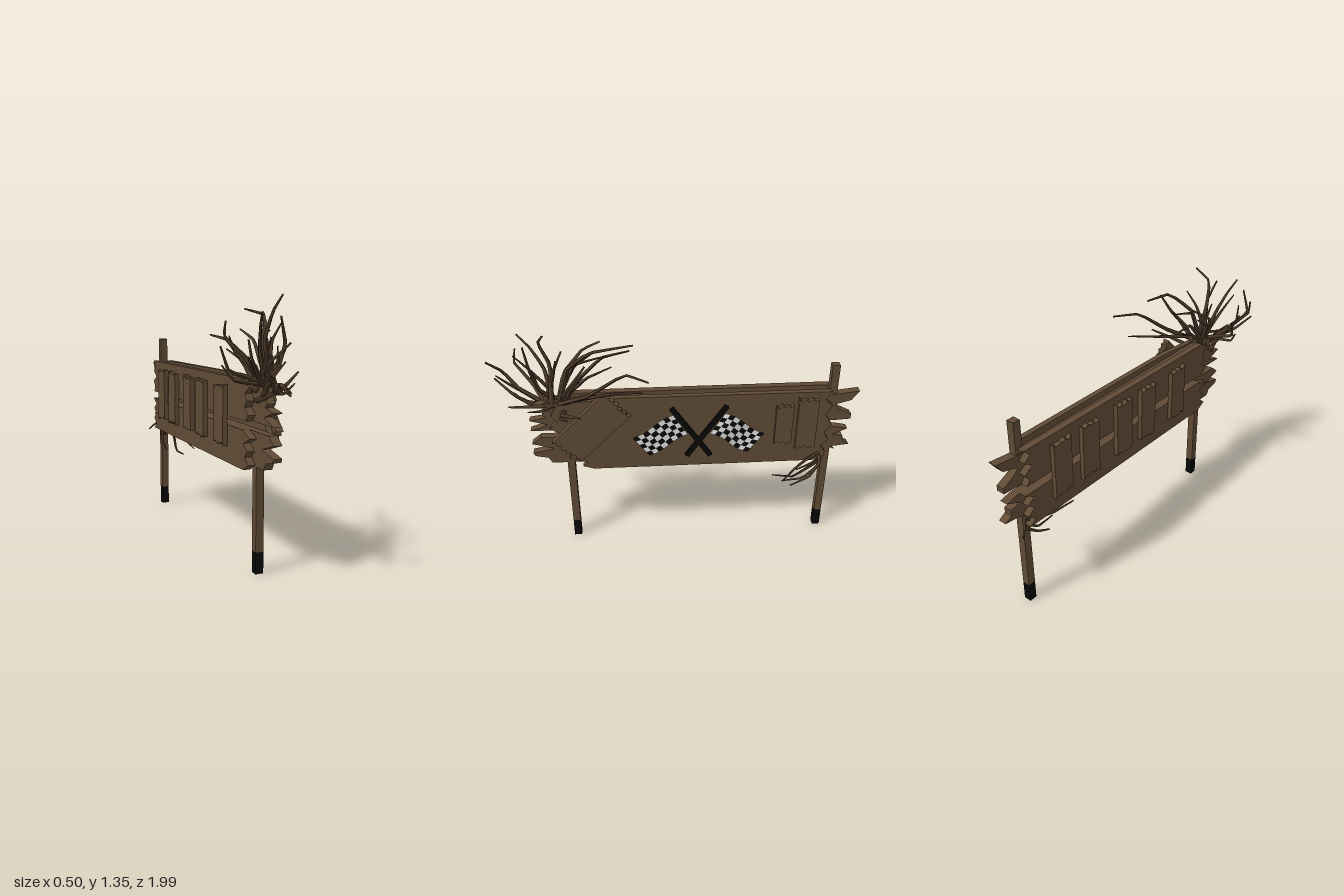
import * as THREE from 'three';

const mat = (name, color, extra = {}) => {
  const m = new THREE.MeshStandardMaterial({ color, ...extra });
  m.name = name;
  return m;
};

export function createModel() {
  const root = new THREE.Group();
  root.name = 'woodenSign';
  const wood = mat('brown wood', 0x5f4a35);
  const bark = mat('dark bark', 0x493728);
  const black = mat('black', 0x080808);
  const clothWhite = mat('white cloth', 0xdedede, { side: THREE.DoubleSide });
  const clothBlack = mat('black cloth', 0x0a0a0a, { side: THREE.DoubleSide });

  let seed = 7;
  const rnd = () => (seed = (seed * 16807) % 2147483647) / 2147483647;
  const jitter = a => (rnd() - 0.5) * 2 * a;

  const add = (name, geo, material, parent = root) => {
    const m = new THREE.Mesh(geo, material);
    m.name = name;
    parent.add(m);
    return m;
  };
  const box = (name, x0, x1, y0, y1, z0, z1, material) =>
    add(name, new THREE.BoxGeometry(x1 - x0, y1 - y0, z1 - z0)
      .translate((x0 + x1) / 2, (y0 + y1) / 2, (z0 + z1) / 2), material);

  // Flat plank from a [z, y] outline, thick from x0 to x1
  const plank = (name, pts, x0, x1) => {
    const shape = new THREE.Shape(pts.map(([z, y]) => new THREE.Vector2(-z, y)));
    const geo = new THREE.ExtrudeGeometry(shape, { depth: x1 - x0, bevelEnabled: false });
    return add(name, geo.rotateY(Math.PI / 2).translate(x0, 0, 0), wood);
  };

  // Short batten with splintered ends, turned in the plane of the sign
  const batten = (name, zc, yc, w, len, x0, x1, angle = 0) => {
    const n = 6, pts = [];
    for (const s of [1, -1]) {
      for (let i = 0; i <= n; i++) {
        const a = s * (i / n - 0.5) * w;
        const b = s * (len / 2 - (i % 2) * 0.014 - rnd() * 0.012);
        pts.push([
          zc - (a * Math.cos(angle) - b * Math.sin(angle)),
          yc + a * Math.sin(angle) + b * Math.cos(angle),
        ]);
      }
    }
    return plank(name, pts, x0, x1);
  };

  // Posts with black feet, interrupted by the slot between the planks
  for (const [name, z, top] of [['frontPost', 0.597, 0.94], ['rearPost', -0.844, 1.09]]) {
    box(name + 'Foot', -0.053, -0.011, 0, 0.11, z - 0.021, z + 0.021, black);
    box(name + 'Lower', -0.053, -0.011, 0.11, 0.7, z - 0.021, z + 0.021, wood);
    box(name + 'Upper', -0.053, -0.011, 0.755, top, z - 0.021, z + 0.021, wood);
  }

  // Core planks with long splintered ends
  plank('upperCorePlank', [
    [0.69, 0.93], [0.77, 0.905], [0.7, 0.885], [0.73, 0.85], [0.71, 0.83],
    [0.8, 0.815], [0.7, 0.785], [0.8, 0.75], [-0.88, 0.75], [-0.96, 0.755],
    [-0.96, 0.785], [-0.89, 0.82], [-0.86, 0.85], [-0.95, 0.875], [-0.99, 0.93], [-0.86, 0.915],
  ], -0.055, -0.01);
  plank('lowerCorePlank', [
    [0.75, 0.705], [0.8, 0.665], [0.68, 0.63], [0.8, 0.605], [0.79, 0.585],
    [0.72, 0.57], [0.7, 0.535], [-0.83, 0.54], [-0.88, 0.575], [-0.97, 0.585],
    [-0.93, 0.61], [-0.93, 0.64], [-0.87, 0.655], [-0.95, 0.69], [-0.88, 0.705],
  ], -0.055, -0.01);

  // Front panel and the two back planks
  plank('frontPanel', [
    [0.64, 0.93], [0.3, 0.955], [-0.83, 0.95], [-0.8, 0.9], [-0.84, 0.86], [-0.81, 0.8],
    [-0.85, 0.74], [-0.81, 0.69], [-0.84, 0.64], [-0.8, 0.6], [-0.83, 0.56], [-0.82, 0.505],
    [0.47, 0.505], [0.53, 0.525], [0.5, 0.55], [0.6, 0.58], [0.58, 0.63], [0.66, 0.67],
    [0.62, 0.73], [0.69, 0.78], [0.65, 0.82], [0.68, 0.86],
  ], -0.01, 0.02);
  for (const [name, y0, y1] of [['lowerBackPlank', 0.51, 0.705], ['upperBackPlank', 0.75, 0.95]]) {
    const h = y1 - y0, pts = [];
    for (let i = 0; i <= 6; i++) pts.push([0.56 + (i % 2) * 0.05 + jitter(0.02), y1 - h * i / 6]);
    for (let i = 0; i <= 6; i++) pts.push([-0.86 + (i % 2) * 0.04 + jitter(0.015), y0 + h * i / 6]);
    plank(name, pts, -0.093, -0.055);
  }

  // Battens on both faces
  batten('frontBattenSmall', -0.578, 0.76, 0.095, 0.26, 0.02, 0.042);
  batten('frontBattenLarge', -0.705, 0.762, 0.11, 0.325, 0.02, 0.045);
  batten('diagonalBattenUpper', 0.5, 0.82, 0.1, 0.43, 0.02, 0.057, -Math.PI / 4);
  batten('diagonalBattenLower', 0.43, 0.75, 0.095, 0.41, 0.02, 0.052, -Math.PI / 4);
  [-0.63, -0.43, -0.17, 0.03, 0.3].forEach((z, i) =>
    batten('backBatten' + (i + 1), z, 0.75, 0.12, 0.32, -0.118, -0.093));

  // Crossed flags: chequered cloth with a gentle wave, mirrored about z = -0.11
  const mid = -0.11, cols = 8, rows = 5;
  const lerp = THREE.MathUtils.lerp;
  for (const s of [1, -1]) {
    const flag = new THREE.Group();
    flag.name = s > 0 ? 'frontFlag' : 'rearFlag';
    root.add(flag);
    const geo = new THREE.PlaneGeometry(1, 1, cols, rows);
    const p = geo.attributes.position;
    for (let i = 0; i < p.count; i++) {
      const u = p.getX(i) + 0.5, v = 0.5 - p.getY(i);
      const z = lerp(lerp(0.14, 0.36, u), lerp(0.06, 0.27, u), v);
      const y = lerp(lerp(0.86, 0.725, u), lerp(0.735, 0.605, u), v);
      const wave = Math.sin(u * Math.PI * 2);
      p.setXYZ(i, 0.057 + 0.009 * wave, y + 0.016 * wave, mid + s * z);
    }
    geo.clearGroups();
    for (let i = 0; i < cols * rows; i++) {
      geo.addGroup(i * 6, 6, (i % cols + Math.floor(i / cols)) % 2);
    }
    geo.computeVertexNormals();
    add('cloth', geo, [clothWhite, clothBlack], flag);

    const pole = add('flagPole', new THREE.BoxGeometry(0.018, 0.375, 0.026), black, flag);
    pole.position.set(s > 0 ? 0.052 : 0.047, 0.745, mid + s * 0.042);
    pole.rotation.x = s * Math.atan2(0.215, 0.31);
  }

  // Kinked, tapered twig through a few points
  const twig = (parent, pts, r) => {
    const curve = new THREE.CatmullRomCurve3(pts, false, 'catmullrom', 0.08);
    const seg = 10, sides = 5;
    const geo = new THREE.TubeGeometry(curve, seg, r, sides);
    const p = geo.attributes.position, v = new THREE.Vector3();
    for (let i = 0; i < p.count; i++) {
      const t = Math.floor(i / (sides + 1)) / seg;
      v.fromBufferAttribute(p, i).lerp(curve.getPointAt(t), 0.7 * t);
      p.setXYZ(i, v.x, v.y, v.z);
    }
    geo.computeVertexNormals();
    add('twig', geo, bark, parent);
  };

  // Bundle of twigs from one root, each with shorter side shoots
  const bundle = (name, base, spread, list, r, shoots) => {
    const group = new THREE.Group();
    group.name = name;
    root.add(group);
    for (const q of list) {
      const start = new THREE.Vector3(...base.map((b, i) => b + jitter(spread[i])));
      const [a, b, c] = [0, 3, 6].map(i => new THREE.Vector3(q[i], q[i + 1], q[i + 2]));
      twig(group, [start, a, b, c], r);
      for (let i = 0; i < shoots; i++) {
        const k = start.distanceTo(a) * 0.3;
        const off = new THREE.Vector3(jitter(k), -rnd() * k * 0.6, jitter(k));
        const m = a.clone().lerp(b, 0.3).add(off);
        const e = a.clone().lerp(c, 0.6).addScaledVector(off, 1.2);
        twig(group, [start.clone().lerp(a, 0.5), m, e], r * 0.75);
      }
    }
  };

  bundle('topBranches', [-0.035, 0.89, 0.65], [0.05, 0.03, 0.07], [
    [-0.1, 0.97, 0.85, -0.16, 1.04, 0.93, -0.08, 1.14, 1.0],
    [-0.12, 0.98, 0.77, -0.2, 1.07, 0.87, -0.21, 1.15, 0.86],
    [-0.04, 1.13, 0.66, -0.02, 1.27, 0.71, 0.05, 1.345, 0.67],
    [-0.08, 1.1, 0.7, -0.11, 1.21, 0.77, -0.13, 1.27, 0.83],
    [0, 1.13, 0.57, 0.07, 1.25, 0.45, 0.06, 1.28, 0.23],
    [0.1, 1.02, 0.47, 0.15, 1.165, 0.28, 0.24, 1.165, 0.16],
    [-0.07, 1.0, 0.55, -0.11, 1.13, 0.4, -0.14, 1.15, 0.25],
    [0.05, 0.88, 0.62, 0.13, 0.92, 0.57, 0.23, 0.97, 0.5],
    [-0.13, 0.97, 0.68, -0.22, 1.0, 0.67, -0.24, 1.11, 0.62],
    [0.05, 1.0, 0.6, 0.13, 1.1, 0.55, 0.15, 1.22, 0.47],
    [-0.05, 0.91, 0.8, -0.1, 0.93, 0.88, -0.16, 1.0, 0.98],
    [0, 1.0, 0.72, 0.02, 1.13, 0.76, -0.02, 1.25, 0.79],
    [-0.1, 1.05, 0.6, -0.17, 1.15, 0.5, -0.12, 1.22, 0.4],
    [0.03, 0.93, 0.72, 0, 0.91, 0.82, -0.02, 0.9, 0.9],
  ], 0.016, 1);

  bundle('bottomBranches', [-0.02, 0.55, -0.82], [0.04, 0.02, 0.03], [
    [0.04, 0.5, -0.78, 0.07, 0.43, -0.65, 0.06, 0.44, -0.53],
    [0.02, 0.46, -0.8, 0.01, 0.37, -0.72, 0.02, 0.365, -0.6],
    [0.06, 0.52, -0.8, 0.08, 0.43, -0.74, 0.1, 0.39, -0.63],
    [-0.06, 0.5, -0.76, -0.08, 0.49, -0.68, -0.12, 0.52, -0.58],
    [-0.05, 0.47, -0.84, -0.06, 0.42, -0.78, -0.06, 0.38, -0.7],
    [-0.06, 0.55, -0.86, -0.09, 0.52, -0.89, -0.11, 0.49, -0.92],
    [0.05, 0.53, -0.72, 0.07, 0.49, -0.66, 0.11, 0.43, -0.58],
  ], 0.012, 0);

  return root;
}
